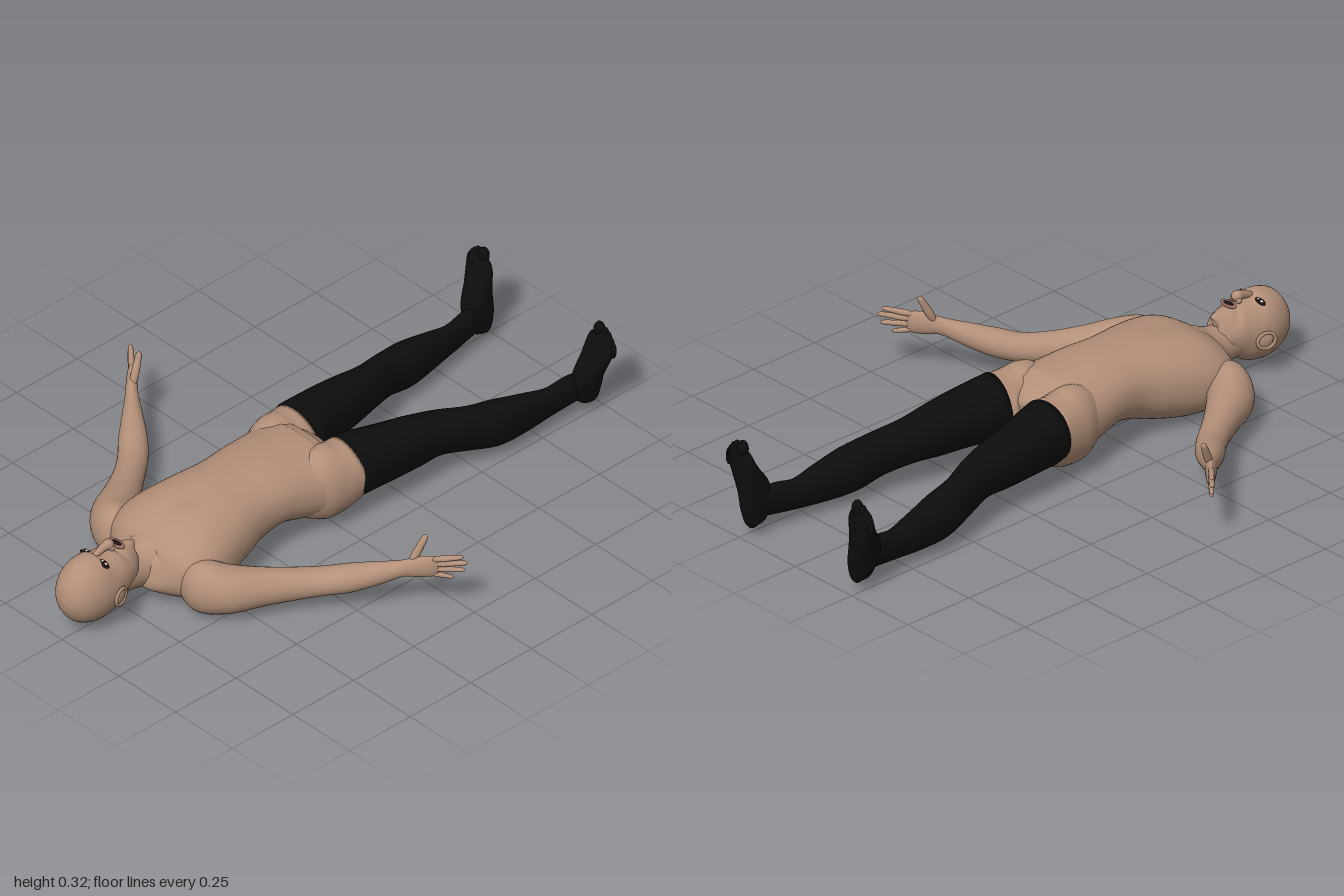
import * as THREE from 'three';

const mat = (name, color, side = THREE.FrontSide) => {
  const m = new THREE.MeshStandardMaterial({ color, side });
  m.name = name;
  return m;
};

// Smooth skin through elliptical sections [x, y, z, halfWidth, halfHeight]
function loft(sections, { up = [0, 1, 0], sides = 32, steps = 6, power = 1, rule } = {}) {
  const centres = new THREE.CatmullRomCurve3(sections.map(s => new THREE.Vector3(s[0], s[1], s[2])), false, 'catmullrom');
  const radii = new THREE.CatmullRomCurve3(sections.map(s => new THREE.Vector3(s[3], s[4], 0)), false, 'catmullrom');
  const rings = (sections.length - 1) * steps;
  const upV = new THREE.Vector3(...up);
  const pos = [], index = [];
  const bend = v => Math.sign(v) * Math.abs(v) ** power;
  const add = p => { if (rule) rule(p); pos.push(p.x, p.y, p.z); };
  for (let i = 0; i <= rings; i++) {
    const t = i / rings, c = centres.getPoint(t), r = radii.getPoint(t);
    const tan = centres.getTangent(t);
    const side = tan.clone().cross(upV).normalize();
    const high = side.clone().cross(tan);
    for (let j = 0; j < sides; j++) {
      const a = j / sides * Math.PI * 2;
      add(c.clone()
        .addScaledVector(side, Math.max(r.x, 0.001) * bend(Math.cos(a)))
        .addScaledVector(high, Math.max(r.y, 0.001) * bend(Math.sin(a))));
    }
  }
  for (let i = 0; i < rings; i++) for (let j = 0; j < sides; j++) {
    const k = (j + 1) % sides, a = i * sides + j, b = i * sides + k;
    index.push(a, a + sides, b, b, a + sides, b + sides);
  }
  const n = pos.length / 3, last = rings * sides;
  add(centres.getPoint(0));
  add(centres.getPoint(1));
  for (let j = 0; j < sides; j++) {
    const k = (j + 1) % sides;
    index.push(n, j, k, n + 1, last + k, last + j);
  }
  const g = new THREE.BufferGeometry();
  g.setAttribute('position', new THREE.Float32BufferAttribute(pos, 3));
  g.setIndex(index);
  g.computeVertexNormals();
  return g;
}

// Sections [z, halfWidth, top, bottom] along the body axis
const alongZ = rows => rows.map(([z, w, t, b]) => [0, (t + b) / 2, z, w, (t - b) / 2]);

export function createModel() {
  const model = new THREE.Group();
  model.name = 'lyingFigure';
  const skin = mat('skin', 0xb39079);
  const sock = mat('stocking', 0x0d0d0d);
  const dark = mat('darkFeature', 0x1a1210);
  const white = mat('eyeWhite', 0xd8d4cc);
  const lip = mat('lip', 0x9a7062);

  const put = (name, geo, m) => {
    const mesh = new THREE.Mesh(geo, m);
    mesh.name = name;
    model.add(mesh);
    return mesh;
  };
  const blob = (name, m, [x, y, z], [a, b, c]) => {
    const mesh = put(name, new THREE.SphereGeometry(1, 20, 14), m);
    mesh.position.set(x, y, z);
    mesh.scale.set(a, b, c);
    return mesh;
  };

  // Torso, with a groove along the spine and a softer one between the chest muscles
  put('torso', loft(alongZ([
    [0.70, 0.055, 0.195, 0.075], [0.67, 0.125, 0.205, 0.05], [0.63, 0.185, 0.23, 0.025],
    [0.57, 0.205, 0.262, 0.004], [0.5, 0.2, 0.284, 0.004], [0.4, 0.178, 0.297, 0.028],
    [0.3, 0.156, 0.3, 0.06], [0.2, 0.16, 0.301, 0.075], [0.1, 0.174, 0.296, 0.052],
    [0.03, 0.187, 0.289, 0.04], [-0.02, 0.175, 0.278, 0.06], [-0.05, 0.1, 0.25, 0.1], [-0.06, 0.02, 0.2, 0.15],
  ]), {
    sides: 56, power: 0.9,
    rule: p => {
      const groove = Math.exp(-((p.x / 0.04) ** 2));
      const chest = Math.exp(-(((p.z - 0.5) / 0.09) ** 2));
      if (p.y < 0.12) p.y += 0.022 * groove;
      else if (p.y > 0.2) p.y -= 0.008 * groove * chest;
    },
  }), skin);

  // Neck and head
  put('neck', loft(alongZ([
    [0.86, 0.055, 0.2, 0.07], [0.8, 0.058, 0.2, 0.075], [0.74, 0.057, 0.2, 0.072],
    [0.69, 0.064, 0.208, 0.06], [0.65, 0.09, 0.222, 0.045], [0.6, 0.1, 0.235, 0.04],
  ])), skin);
  put('head', loft(alongZ([
    [1.0, 0.004, 0.157, 0.149], [0.989, 0.04, 0.2, 0.105], [0.955, 0.071, 0.244, 0.06],
    [0.905, 0.086, 0.266, 0.04], [0.855, 0.086, 0.265, 0.045], [0.81, 0.078, 0.258, 0.075],
    [0.765, 0.065, 0.258, 0.105], [0.738, 0.046, 0.26, 0.14], [0.72, 0.026, 0.25, 0.175], [0.714, 0.004, 0.225, 0.2],
  ]), { sides: 40 }), skin);
  put('nose', loft([
    [0, 0.25, 0.875, 0.008, 0.01], [0, 0.262, 0.85, 0.01, 0.012], [0, 0.27, 0.825, 0.013, 0.015],
    [0, 0.27, 0.808, 0.018, 0.018], [0, 0.262, 0.797, 0.01, 0.01],
  ], { sides: 16 }), skin);
  const lips = put('lips', new THREE.TorusGeometry(1, 0.28, 10, 32), lip);
  lips.rotation.x = Math.PI / 2;
  lips.position.set(0, 0.257, 0.775);
  lips.scale.set(0.026, 0.012, 0.02);
  blob('mouthOpening', dark, [0, 0.257, 0.775], [0.026, 0.004, 0.011]);

  const legTop = [
    [0.1, 0.165, 0.13, 0.05, 0.08], [0.104, 0.165, 0.05, 0.084, 0.122],
    [0.109, 0.165, -0.015, 0.09, 0.122], [0.113, 0.178, -0.077, 0.092, 0.105],
  ];
  const legLow = [
    [0.113, 0.178, -0.075, 0.0945, 0.107], [0.132, 0.172, -0.2, 0.083, 0.095],
    [0.143, 0.165, -0.3, 0.074, 0.086], [0.156, 0.157, -0.4, 0.061, 0.074],
    [0.184, 0.138, -0.5, 0.055, 0.073], [0.2, 0.117, -0.6, 0.06, 0.076],
    [0.21, 0.106, -0.7, 0.046, 0.066], [0.217, 0.1, -0.8, 0.031, 0.051],
    [0.225, 0.11, -0.88, 0.027, 0.052], [0.232, 0.11, -0.94, 0.026, 0.045],
  ];
  const footRows = [
    [0.235, 0.047, -0.95, 0.006, 0.008], [0.235, 0.056, -0.952, 0.026, 0.034], [0.238, 0.1, -0.944, 0.034, 0.054],
    [0.245, 0.15, -0.942, 0.04, 0.056], [0.256, 0.2, -0.957, 0.047, 0.041], [0.266, 0.25, -0.972, 0.054, 0.025],
    [0.27, 0.285, -0.977, 0.046, 0.018], [0.268, 0.305, -0.979, 0.03, 0.01],
  ];
  const armRows = [
    [0.13, 0.115, 0.62, 0.03, 0.06], [0.19, 0.112, 0.6, 0.066, 0.088], [0.25, 0.107, 0.55, 0.073, 0.078],
    [0.31, 0.105, 0.465, 0.058, 0.062], [0.365, 0.105, 0.385, 0.049, 0.052], [0.42, 0.11, 0.315, 0.047, 0.045],
    [0.475, 0.124, 0.262, 0.045, 0.045], [0.535, 0.146, 0.208, 0.034, 0.038], [0.595, 0.17, 0.155, 0.021, 0.028],
    [0.63, 0.178, 0.122, 0.018, 0.036], [0.66, 0.183, 0.094, 0.014, 0.037], [0.677, 0.184, 0.08, 0.006, 0.028],
  ];
  // Fingers as [base, tip, radius]; the last is the thumb
  const fingers = [
    [[0.662, 0.208, 0.093], [0.734, 0.224, 0.03], 0.0095],
    [[0.665, 0.192, 0.09], [0.744, 0.204, 0.022], 0.0095],
    [[0.663, 0.175, 0.092], [0.738, 0.176, 0.026], 0.009],
    [[0.655, 0.159, 0.099], [0.711, 0.147, 0.05], 0.008],
    [[0.613, 0.19, 0.134], [0.632, 0.282, 0.088], 0.0125],
  ];
  // Toes as [x, tip height, radius]
  const toes = [[0.255, 0.333, 0.019], [0.28, 0.325, 0.012], [0.295, 0.314, 0.011], [0.307, 0.299, 0.01], [0.317, 0.284, 0.009]];

  for (const [label, s] of [['left', 1], ['right', -1]]) {
    const flip = rows => rows.map(([x, ...rest]) => [s * x, ...rest]);
    put(label + 'UpperThigh', loft(flip(legTop)), skin);
    put(label + 'Stocking', loft(flip(legLow)), sock);
    put(label + 'Foot', loft(flip(footRows), { up: [0, 0, 1] }), sock);
    toes.forEach(([x, y, r], i) =>
      blob(label + 'Toe' + (i + 1), sock, [s * x, y - 0.028, -0.98], [r, 0.028, Math.min(r, 0.016) * 1.1]));
    put(label + 'Arm', loft(flip(armRows)), skin);
    fingers.forEach(([a, b, r], i) => {
      const rows = [[0, 0.8], [0.3, 1.05], [0.65, 0.92], [0.9, 0.75], [0.98, 0.4], [1, 0.05]].map(([t, k]) =>
        [...a.map((v, n) => v + (b[n] - v) * t), r * k, r * k]);
      put(label + (i === 4 ? 'Thumb' : 'Finger' + (i + 1)), loft(flip(rows), { sides: 12, steps: 3 }), skin);
    });

    // Ear with rim
    blob(label + 'Ear', skin, [s * 0.089, 0.143, 0.842], [0.008, 0.026, 0.028]).rotation.y = s * 0.3;
    const rim = put(label + 'EarRim', new THREE.TorusGeometry(0.024, 0.005, 8, 24), skin);
    rim.position.set(s * 0.094, 0.143, 0.844);
    rim.rotation.y = Math.PI / 2 + s * 0.3;
    rim.scale.set(1.25, 1.1, 1);

    // Eye: dark lid outline, white and iris
    blob(label + 'EyeOutline', dark, [s * 0.042, 0.249, 0.866], [0.021, 0.006, 0.011]).rotation.z = -s * 0.25;
    blob(label + 'EyeWhite', white, [s * 0.042, 0.251, 0.865], [0.014, 0.006, 0.006]).rotation.z = -s * 0.25;
    blob(label + 'Iris', dark, [s * 0.042, 0.2535, 0.865], [0.006, 0.005, 0.006]);
    blob(label + 'Nostril', skin, [s * 0.013, 0.262, 0.805], [0.009, 0.01, 0.01]);
  }
  return model;
}
